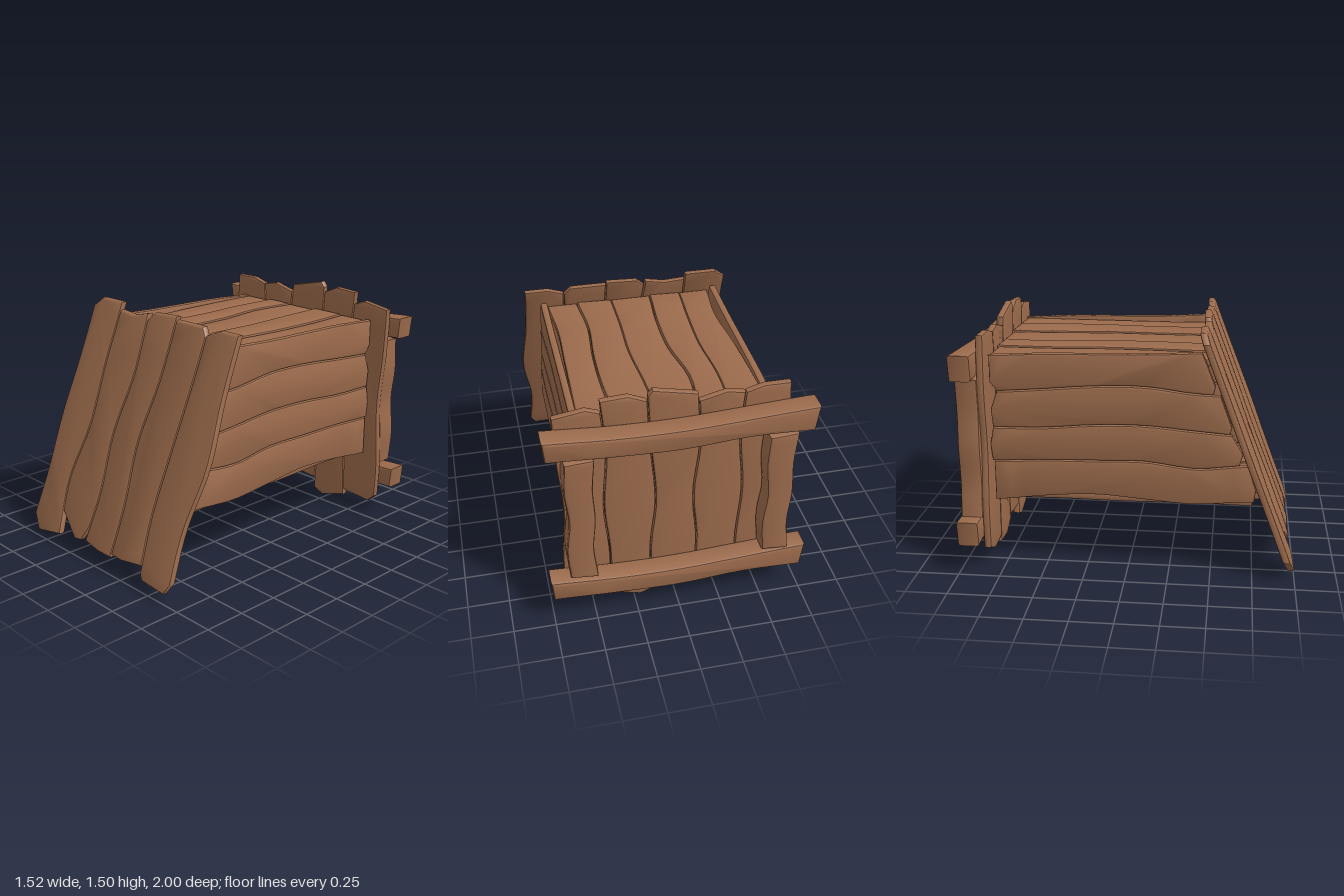
import * as THREE from 'three';
import { toCreasedNormals } from 'three/addons/utils/BufferGeometryUtils.js';

const wood = new THREE.MeshStandardMaterial({ color: 0x9c6b4c });
const metal = new THREE.MeshStandardMaterial({ color: 0x9a9fa5 });

// Wavy edge: sideways offsets at evenly spaced knots between lo and hi.
function makeEdge(offsets, lo, hi) {
  const curve = new THREE.SplineCurve(offsets.map((v, i) => new THREE.Vector2(i, v)));
  return (s) => curve.getPoint(THREE.MathUtils.clamp((s - lo) / (hi - lo), 0, 1)).y;
}

// Plank between two wavy edges. Caps are [fraction across, position along] lists.
// With alongX the plank runs along shape x, otherwise along shape y.
function plankGeometry(a, b, start, end, { thick = 0.045, alongX = false, hole = null, bevel = 0.012 } = {}) {
  const pts = [];
  const put = (across, along) => pts.push(alongX ? new THREE.Vector2(along, across) : new THREE.Vector2(across, along));
  const cap = ([f, s]) => put(a(s) + (b(s) - a(s)) * f, s);
  const run = (edge, s0, s1) => {
    for (let i = 1; i < 16; i++) { const s = s0 + (s1 - s0) * i / 16; put(edge(s), s); }
  };
  const lo0 = start[0][1], lo1 = start.at(-1)[1], hi0 = end[0][1], hi1 = end.at(-1)[1];
  run(a, lo0, hi0);
  end.forEach(cap);
  run(b, hi1, lo1);
  [...start].reverse().forEach(cap);
  const shape = new THREE.Shape(pts);
  if (hole) shape.holes.push(new THREE.Path().absarc(hole[0], hole[1], hole[2], 0, Math.PI * 2, true));
  const geo = new THREE.ExtrudeGeometry(shape, {
    depth: thick - 2 * bevel, bevelThickness: bevel, bevelSize: bevel, bevelOffset: -bevel - 0.002,
    bevelSegments: 2, curveSegments: 12,
  });
  return geo.translate(0, 0, bevel - thick / 2);
}

// Row of planks sharing their wavy edges; place() moves each into position.
function plankRow(name, edges, lo, hi, caps, place, options = () => ({})) {
  const group = new THREE.Group();
  group.name = name;
  const curves = edges.map((e) => makeEdge(e, lo, hi));
  caps.forEach(([start, end], i) => {
    const geo = plankGeometry(curves[i], curves[i + 1], start, end, options(i));
    place(geo, i);
    const mesh = new THREE.Mesh(toCreasedNormals(geo, 0.6), wood);
    mesh.name = name + 'Plank' + (i + 1);
    group.add(mesh);
  });
  return group;
}

function metalPart(name, geo, x, y, z) {
  const mesh = new THREE.Mesh(geo, metal);
  mesh.name = name;
  mesh.position.set(x, y, z);
  return mesh;
}

export function createModel() {
  const model = new THREE.Group();
  model.name = 'plankCrate';

  // Leaning front panel, sheared forward towards the ground
  const lean = (geo) => {
    const p = geo.attributes.position;
    for (let i = 0; i < p.count; i++) p.setZ(i, p.getZ(i) + 0.43 + (1.48 - p.getY(i)) * 0.385);
  };
  model.add(plankRow('frontPanel', [
    [-0.67, -0.65, -0.655, -0.63, -0.62],
    [-0.37, -0.415, -0.355, -0.365, -0.355],
    [-0.13, -0.10, -0.125, -0.08, -0.095],
    [0.13, 0.135, 0.105, 0.15, 0.155],
    [0.41, 0.38, 0.395, 0.415, 0.425],
    [0.665, 0.65, 0.70, 0.675, 0.67],
  ], 0.05, 1.45, [
    [[[0, 0.13], [0.28, 0.045], [1, 0.08]], [[0, 1.42], [0.25, 1.475], [1, 1.475]]],
    [[[0, 0.22], [0.6, 0.1], [0.85, 0.11], [1, 0.2]], [[0, 1.43], [0.5, 1.42], [1, 1.45]]],
    [[[0, 0.12], [0.5, 0.1], [1, 0.1]], [[0, 1.41], [0.2, 1.46], [1, 1.47]]],
    [[[0, 0.12], [0.35, 0.115], [1, 0.14]], [[0, 1.45], [0.85, 1.45], [1, 1.4]]],
    [[[0, 0.1], [0.1, 0.07], [0.85, 0.06], [1, 0.12]], [[0, 1.41], [0.4, 1.45], [1, 1.45]]],
  ], lean));

  // Upright back panel
  model.add(plankRow('backPanel', [
    [-0.64, -0.65, -0.62, -0.65, -0.63],
    [-0.38, -0.37, -0.39, -0.36, -0.38],
    [-0.10, -0.13, -0.10, -0.13, -0.11],
    [0.13, 0.15, 0.12, 0.15, 0.17],
    [0.40, 0.39, 0.42, 0.40, 0.43],
    [0.66, 0.67, 0.65, 0.68, 0.69],
  ], 0, 1.5, [
    [[[0, 0.14], [0.4, 0.09], [1, 0.1]], [[0, 1.45], [0.6, 1.45], [1, 1.42]]],
    [[[0, 0.06], [0.55, 0.05], [1, 0.11]], [[0, 1.42], [0.4, 1.44], [1, 1.4]]],
    [[[0, 0.13], [1, 0.11]], [[0, 1.45], [0.9, 1.505], [1, 1.47]]],
    [[[0, 0.04], [0.3, 0.005], [1, 0.06]], [[0, 1.44], [0.4, 1.485], [1, 1.475]]],
    [[[0, 0.1], [0.8, 0.08], [1, 0.13]], [[0, 1.4], [0.3, 1.43], [1, 1.4]]],
  ], (geo) => geo.translate(0, 0, -0.84)));

  // Side walls, the same on both sides, running front to back
  for (const [name, x] of [['leftWall', 0.555], ['rightWall', -0.54]]) {
    model.add(plankRow(name, [
      [0.42, 0.455, 0.475, 0.455, 0.435, 0.46],
      [0.67, 0.685, 0.69, 0.695, 0.66, 0.69],
      [0.88, 0.885, 0.91, 0.915, 0.89, 0.87],
      [1.10, 1.12, 1.145, 1.15, 1.115, 1.11],
      [1.32, 1.335, 1.34, 1.345, 1.36, 1.38],
    ], -0.8, 0.7, [
      [[[0, -0.8], [1, -0.8]], [[0, 0.75], [0.35, 0.76], [1, 0.71]]],
      [[[0, -0.81], [0.5, -0.82], [1, -0.8]], [[0, 0.66], [0.4, 0.68], [1, 0.61]]],
      [[[0, -0.8], [0.5, -0.81], [1, -0.77]], [[0, 0.6], [0.2, 0.61], [1, 0.54]]],
      [[[0, -0.77], [0.25, -0.81], [1, -0.81]], [[0, 0.5], [0.2, 0.51], [1, 0.43]]],
    ], (geo) => geo.rotateY(-Math.PI / 2).translate(x, 0, 0), () => ({ alongX: true })));
  }

  // Roof and floor planks, laid flat and running front to back
  const flat = (y) => (geo, i) => geo.rotateX(Math.PI / 2).translate(0, y + (i % 2) * 0.008, 0);
  const square = (z0, z1) => Array.from({ length: 5 }, (_, i) =>
    [[[0, z0], [1, z0 + 0.01]], [[0, z1 - 0.01 * (i % 2)], [1, z1]]]);
  model.add(plankRow('roof', [
    [-0.52, -0.52, -0.51, -0.49, -0.52],
    [-0.31, -0.32, -0.30, -0.31, -0.33],
    [-0.13, -0.155, -0.11, -0.11, -0.135],
    [0.10, 0.11, 0.13, 0.12, 0.12],
    [0.33, 0.35, 0.345, 0.32, 0.34],
    [0.54, 0.53, 0.52, 0.51, 0.53],
  ], -0.81, 0.48, square(-0.815, 0.475), flat(1.29)));
  model.add(plankRow('floor', [
    [-0.52, -0.51, -0.52, -0.51, -0.52],
    [-0.31, -0.33, -0.30, -0.32, -0.31],
    [-0.13, -0.11, -0.14, -0.13, -0.12],
    [0.11, 0.13, 0.12, 0.14, 0.12],
    [0.32, 0.33, 0.31, 0.34, 0.32],
    [0.53, 0.52, 0.53, 0.52, 0.53],
  ], -0.8, 0.74, square(-0.8, 0.74), flat(0.445), (i) => (i === 2 ? { hole: [0, 0.3, 0.085] } : {})));

  // Wooden rim round the opening in the floor
  const rim = new THREE.Mesh(new THREE.TorusGeometry(0.115, 0.032, 10, 28), wood);
  rim.name = 'floorOpeningRim';
  rim.rotation.x = Math.PI / 2;
  rim.scale.z = 0.7;
  rim.position.set(0, 0.43, 0.3);
  model.add(rim);

  // Cross bar behind the front panel
  const bar = new THREE.Mesh(new THREE.BoxGeometry(1.02, 0.04, 0.08), wood);
  bar.name = 'frontCrossBar';
  bar.position.set(0, 0.49, 0.755);
  model.add(bar);

  // Heavy rails and posts on the back
  const beam = (name, a, b, lo, hi, start, end, alongX, z) => {
    const geo = plankGeometry(makeEdge(a, lo, hi), makeEdge(b, lo, hi), start, end, { thick: 0.135, alongX, bevel: 0.018 });
    const mesh = new THREE.Mesh(toCreasedNormals(geo.translate(0, 0, z), 0.6), wood);
    mesh.name = name;
    model.add(mesh);
  };
  for (const [name, y] of [['upperRail', 1.2], ['lowerRail', 0.19]]) {
    beam(name, [0.0, 0.01, -0.015, -0.005, 0.015].map((v) => v + y), [0.16, 0.14, 0.12, 0.125, 0.15].map((v) => v + y),
      -0.76, 0.76, [[0, -0.745], [1, -0.765]], [[0, 0.75], [1, 0.762]], true, -0.932);
  }
  for (const [name, x] of [['leftPost', 0.57], ['rightPost', -0.57]]) {
    beam(name, [-0.09, -0.07, -0.085, -0.075, -0.09].map((v) => v + x), [0.075, 0.09, 0.07, 0.09, 0.08].map((v) => v + x),
      0.34, 1.2, [[0, 0.335], [1, 0.35]], [[0, 1.195], [1, 1.185]], false, -0.925);
  }

  // Metal hinges under the floor
  for (const z of [0.3, -0.41]) {
    const hinge = new THREE.Group();
    hinge.name = 'hinge';
    hinge.position.z = z;
    hinge.add(metalPart('hingeBarrel', new THREE.CapsuleGeometry(0.024, 0.11, 4, 12).rotateX(Math.PI / 2), 0.41, 0.425, 0));
    hinge.add(metalPart('hingeArm', new THREE.BoxGeometry(0.13, 0.02, 0.06), 0.35, 0.41, 0));
    hinge.add(metalPart('hingeStem', new THREE.CylinderGeometry(0.016, 0.016, 0.05, 12), 0.3, 0.4, 0));
    hinge.add(metalPart('hingeKnob', new THREE.CylinderGeometry(0.036, 0.028, 0.016, 16), 0.3, 0.378, 0));
    model.add(hinge);
  }
  return model;
}
